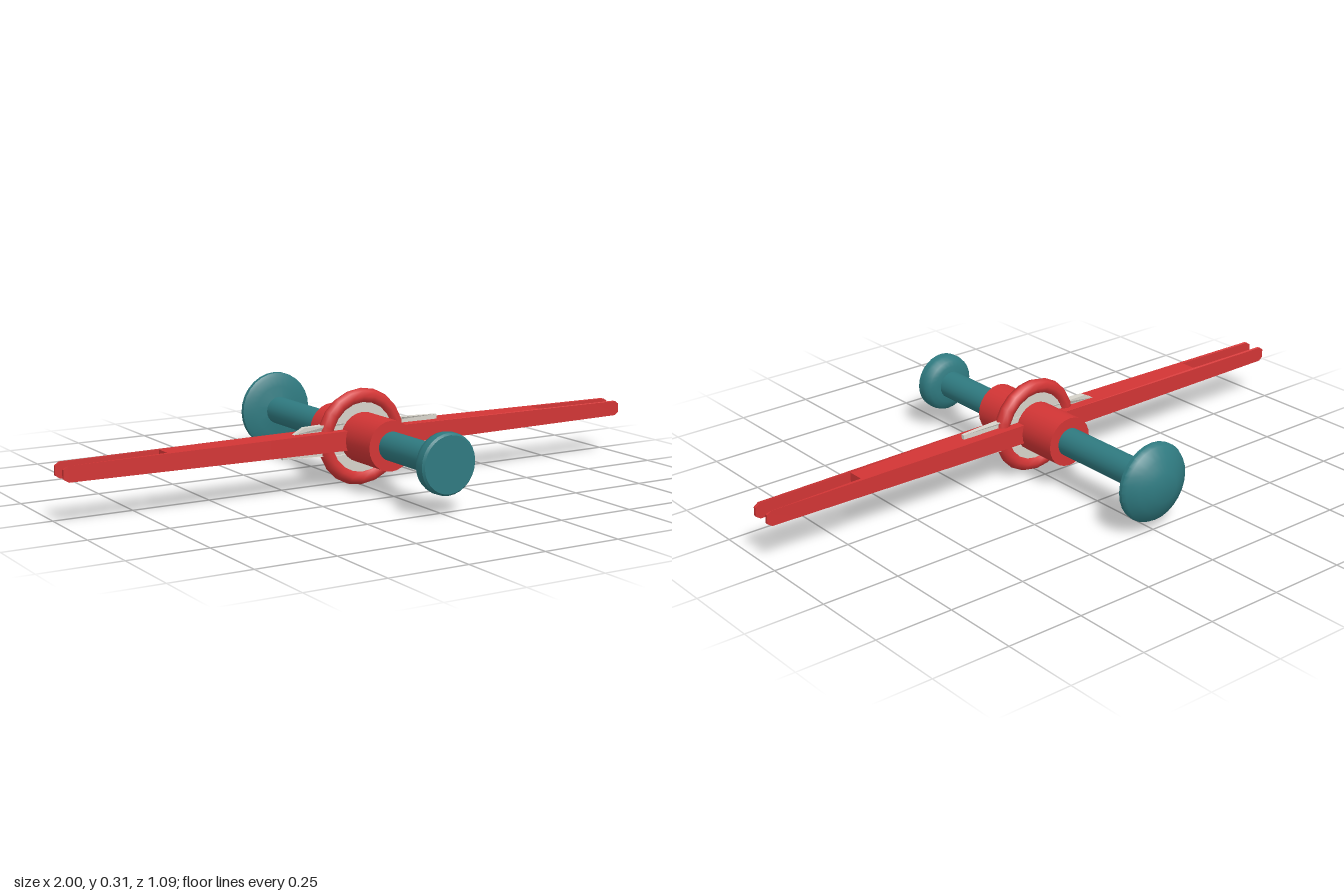
import * as THREE from 'three';
import { toCreasedNormals } from 'three/addons/utils/BufferGeometryUtils.js';

const AXIS_Y = 0.16; // height of the plunger axis
const HUB_Z = 0.057; // plane of the arms and ring

const red = new THREE.MeshStandardMaterial({ color: 0xd23535 });
const teal = new THREE.MeshStandardMaterial({ color: 0x2f7a80 });
const pale = new THREE.MeshStandardMaterial({ color: 0xd6d3ca });

// Revolves [radius, z] pairs (ascending z) around the z axis
function turned(profile, segments) {
  const pts = profile.map(([r, z]) => new THREE.Vector2(r, z));
  return toCreasedNormals(new THREE.LatheGeometry(pts, segments).rotateX(Math.PI / 2), 0.6);
}

function shapeOf(points) {
  return new THREE.Shape(points.map(([x, y]) => new THREE.Vector2(x, y)));
}

// Moves every vertex by a rule
function reshape(geometry, rule) {
  const p = geometry.attributes.position;
  const v = new THREE.Vector3();
  for (let i = 0; i < p.count; i++) {
    rule(v.fromBufferAttribute(p, i));
    p.setXYZ(i, v.x, v.y, v.z);
  }
  return toCreasedNormals(geometry, 0.4);
}

// Forked arm: plan outline with a slot at the end, thinning towards the tip
function armGeometry() {
  const outer = [[0.04, 0.042], [0.34, 0.041], [0.72, 0.038], [0.985, 0.036], [1, 0.035]];
  const slot = [[1, 0.026], [0.985, 0.026], [0.675, 0.027]];
  const half = [...outer, ...slot];
  const outline = [...half, ...half.map(([x, s]) => [x, -s]).reverse()];
  const geo = new THREE.ExtrudeGeometry(shapeOf(outline), { depth: 2, bevelEnabled: false, steps: 1 });
  geo.translate(0, 0, -1).rotateX(-Math.PI / 2);
  return reshape(geo, (v) => {
    v.y *= v.x > 0.99 ? 0.014 : 0.031 - 0.007 * v.x;
  });
}

// Flat blade lying behind both arms, thinning towards its ends
function bladeGeometry() {
  const half = [[0.1, 0.049], [0.28, 0.044], [0.28, 0.028], [0.24, -0.03], [0.205, -0.048], [0.1, -0.05]];
  const outline = [...half, ...half.map(([x, y]) => [-x, -y])];
  const geo = new THREE.ExtrudeGeometry(shapeOf(outline), { depth: 2, bevelEnabled: false });
  geo.translate(0, 0, -1);
  return reshape(geo, (v) => {
    v.z *= 0.02 - 0.053 * Math.abs(v.x);
  });
}

export function createModel() {
  const model = new THREE.Group();
  model.name = 'plungerWithArms';

  function add(name, geometry, material, z = 0) {
    const mesh = new THREE.Mesh(geometry, material);
    mesh.name = name;
    mesh.position.set(0, AXIS_Y, z);
    model.add(mesh);
    return mesh;
  }

  // Sliding rod and its two knobs
  add('rod', turned([[0.045, -0.5], [0.045, 0.5]], 24), teal);
  add('rearKnob', turned([
    [0, -0.547], [0.047, -0.547], [0.085, -0.528], [0.118, -0.508], [0.125, -0.495],
    [0.124, -0.483], [0.112, -0.476], [0.08, -0.47], [0.044, -0.464],
  ], 28), teal);
  add('frontKnob', turned([
    [0.044, 0.484], [0.062, 0.487], [0.08, 0.494], [0.091, 0.506],
    [0.094, 0.52], [0.093, 0.54], [0.087, 0.547], [0, 0.547],
  ], 28), teal);

  // Sleeve around the rod
  add('sleeve', turned([[0.044, -0.118], [0.079, -0.118], [0.079, 0.235], [0.044, 0.235]], 24), red);

  // Ring with its pale inner disc and blade
  add('ring', new THREE.TorusGeometry(0.129, 0.024, 8, 20), red, HUB_Z);
  add('innerDisc', turned([[0.07, -0.012], [0.115, -0.012], [0.115, 0.012], [0.07, 0.012]], 28), pale, HUB_Z);
  add('blade', bladeGeometry(), pale, HUB_Z);

  // Two arms facing opposite ways
  const arm = armGeometry();
  add('leftArm', arm, red, HUB_Z);
  add('rightArm', arm, red, HUB_Z).rotation.y = Math.PI;

  return model;
}
